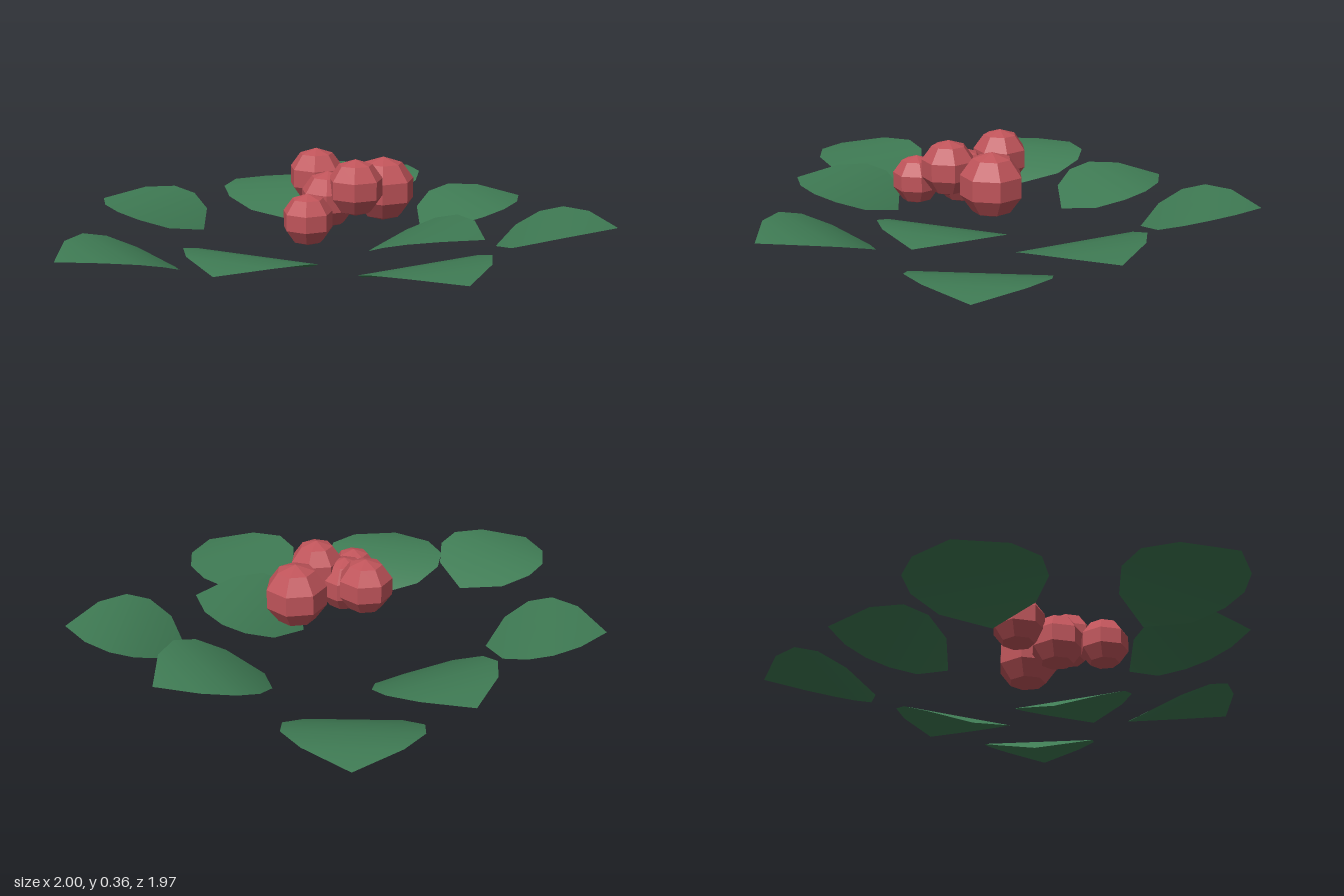
import * as THREE from 'three';

const leafGreen = new THREE.MeshStandardMaterial({ color: 0x3f7b54, side: THREE.DoubleSide });
leafGreen.name = 'leafGreen';
const berryRed = new THREE.MeshStandardMaterial({ color: 0xc0545a, flatShading: true });
berryRed.name = 'berryRed';

// Leaf blade: cross-sections from the low inner tip (x = 0) to the outer tip, arched along its length
function leafGeometry() {
  const length = 0.455;
  const sections = [[0, 0], [0.067, 0.17], [0.158, 0.24], [0.25, 0.24], [0.35, 0.166], [length, 0]];
  const arch = x => 0.12 - 0.115 * ((x / length - 0.7) / 0.7) ** 2;
  const positions = [], index = [];
  for (const [x, half] of sections) {
    for (const side of [1, 0, -1]) positions.push(x, arch(x), half * side);
  }
  for (let i = 0; i < sections.length - 1; i++) {
    for (let j = 0; j < 2; j++) {
      const a = i * 3 + j, b = a + 3;
      // the tips are single points, so skip the collapsed triangles there
      if (i < sections.length - 2) index.push(a, b, b + 1);
      else index.push(a, i * 3 + 4, a + 1);
      if (i > 0 && i < sections.length - 2) index.push(a, b + 1, a + 1);
      if (i === 0) continue;
    }
  }
  const geometry = new THREE.BufferGeometry();
  geometry.setAttribute('position', new THREE.Float32BufferAttribute(positions, 3));
  geometry.setIndex(index);
  // remove the slivers at the inner tip by sharing its middle point
  geometry.setIndex(index.map(k => (k < 3 ? 1 : k)));
  geometry.computeVertexNormals();
  return geometry;
}

export function createModel() {
  const model = new THREE.Group();
  model.name = 'berryCluster';

  // Ring of leaves: inner tip x, z and outer tip x, z
  const blade = leafGeometry();
  const leaves = [
    [-0.21, -0.55, -0.33, -0.99],
    [-0.30, -0.19, -0.63, -0.50],
    [0.20, -0.34, 0.49, -0.695],
    [0.57, -0.23, 0.995, -0.37],
    [0.17, 0.03, 0.62, 0.02],
    [0.40, 0.31, 0.79, 0.555],
    [-0.02, 0.41, 0.01, 0.86],
    [-0.35, 0.58, -0.56, 0.985],
    [-0.55, 0.11, -1.0, 0.18],
  ];
  leaves.forEach(([x0, z0, x1, z1], i) => {
    const leaf = new THREE.Mesh(blade, leafGreen);
    leaf.name = `leaf${i + 1}`;
    leaf.position.set(x0, 0, z0);
    leaf.rotation.y = Math.atan2(z0 - z1, x1 - x0);
    model.add(leaf);
  });

  // Faceted berries: centre x, y, z and radius
  const berryBall = new THREE.SphereGeometry(1, 7, 5);
  berryBall.rotateY(-Math.PI / 2);
  const berries = [
    [-0.093, 0.257, -0.005, 0.109],
    [0.16, 0.218, -0.08, 0.125],
    [0.138, 0.257, 0.107, 0.108],
    [0.022, 0.2, 0.107, 0.108],
    [0.04, 0.165, 0.293, 0.097],
  ];
  berries.forEach(([x, y, z, r], i) => {
    const berry = new THREE.Mesh(berryBall, berryRed);
    berry.name = `berry${i + 1}`;
    berry.position.set(x, y, z);
    berry.scale.setScalar(r);
    model.add(berry);
  });

  return model;
}
